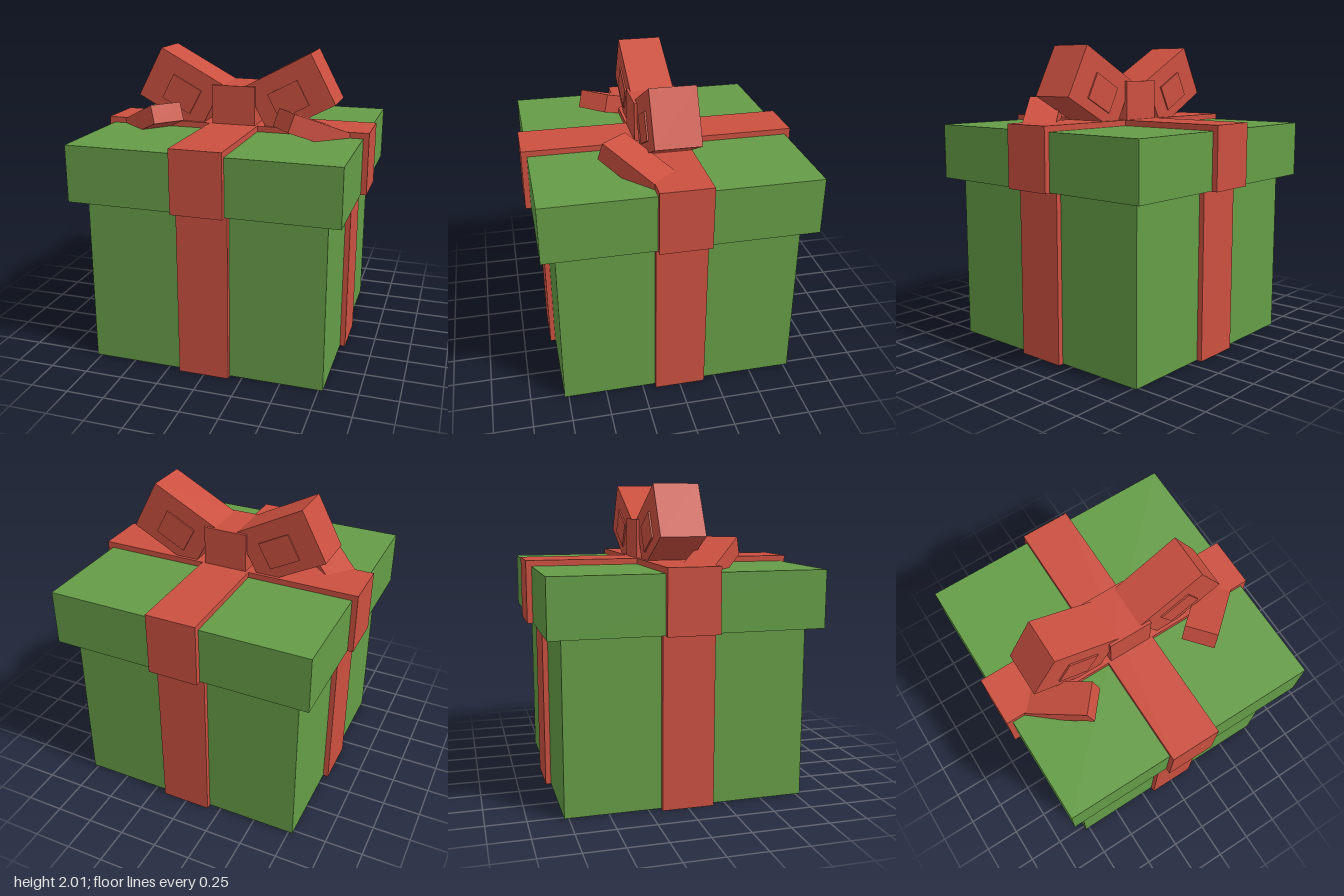
import * as THREE from 'three';

const green = new THREE.MeshStandardMaterial({ color: 0x659d47 });
green.name = 'green paper';
const red = new THREE.MeshStandardMaterial({ color: 0xcb5040 });
red.name = 'red ribbon';

function box(name, mat, w, h, d, x, y, z) {
  const mesh = new THREE.Mesh(new THREE.BoxGeometry(w, h, d), mat);
  mesh.name = name;
  mesh.position.set(x, y, z);
  return mesh;
}

// A square block standing on y0, wrapped by two crossing ribbons
function wrapped(name, half, ribbonHalf, y0, y1, ribbonTop) {
  const g = new THREE.Group();
  g.name = name;
  const lift = 0.003; // keeps the ribbon clear of the paper underneath
  const h = y1 - y0 - lift;
  g.add(box(name + 'Block', green, half * 2, h, half * 2, 0, y1 - h / 2, 0));
  const rh = ribbonTop - y0, ry = y0 + rh / 2;
  g.add(box(name + 'RibbonAcross', red, ribbonHalf * 2, rh, 0.334, 0, ry, 0));
  g.add(box(name + 'RibbonFrontToBack', red, 0.334, rh, ribbonHalf * 2, 0, ry, 0));
  return g;
}

// Slanted bow loop with a small raised block on its front and back
function bowLoop(side) {
  const g = new THREE.Group();
  g.name = side > 0 ? 'leftLoop' : 'rightLoop';
  const angle = Math.atan2(0.325, 0.61);
  const loop = box('loop', red, 0.49, 0.367, 0.294, side * 0.379, 1.736, 0);
  const inset = box('loopCentre', red, 0.221, 0.182, 0.314, side * 0.37, 1.7075, 0);
  loop.rotation.z = inset.rotation.z = side * angle;
  g.add(loop, inset);
  return g;
}

// Loose ribbon end rising out of the lid toward the front
function bowTail(side) {
  const length = 0.5, thick = 0.124, slope = 0.37;
  const s = Math.sin(slope), c = Math.cos(slope);
  const hx = -0.763 * side, hz = 0.647;
  const out = new THREE.Vector3(hx * c, s, hz * c).normalize();
  const up = new THREE.Vector3(-hx * s, c, -hz * s).normalize();
  const across = new THREE.Vector3().crossVectors(up, out);
  const centre = new THREE.Vector3(side * 0.41, 1.675, 0.343)
    .addScaledVector(out, -length / 2)
    .addScaledVector(up, -thick / 2);
  const tail = box(side > 0 ? 'leftTail' : 'rightTail', red, 0.216, thick, length, 0, 0, 0);
  tail.quaternion.setFromRotationMatrix(new THREE.Matrix4().makeBasis(across, up, out));
  tail.position.copy(centre);
  return tail;
}

export function createModel() {
  const model = new THREE.Group();
  model.name = 'giftBox';
  model.add(wrapped('body', 0.778, 0.813, 0, 1.13, 1.13));
  model.add(wrapped('lid', 0.87, 0.907, 1.114, 1.487, 1.525));

  // Bow: knot, two loops, two tails
  const bow = new THREE.Group();
  bow.name = 'bow';
  bow.add(box('knot', red, 0.294, 0.27, 0.33, 0, 1.648, 0));
  for (const side of [1, -1]) bow.add(bowLoop(side), bowTail(side));
  model.add(bow);
  return model;
}
